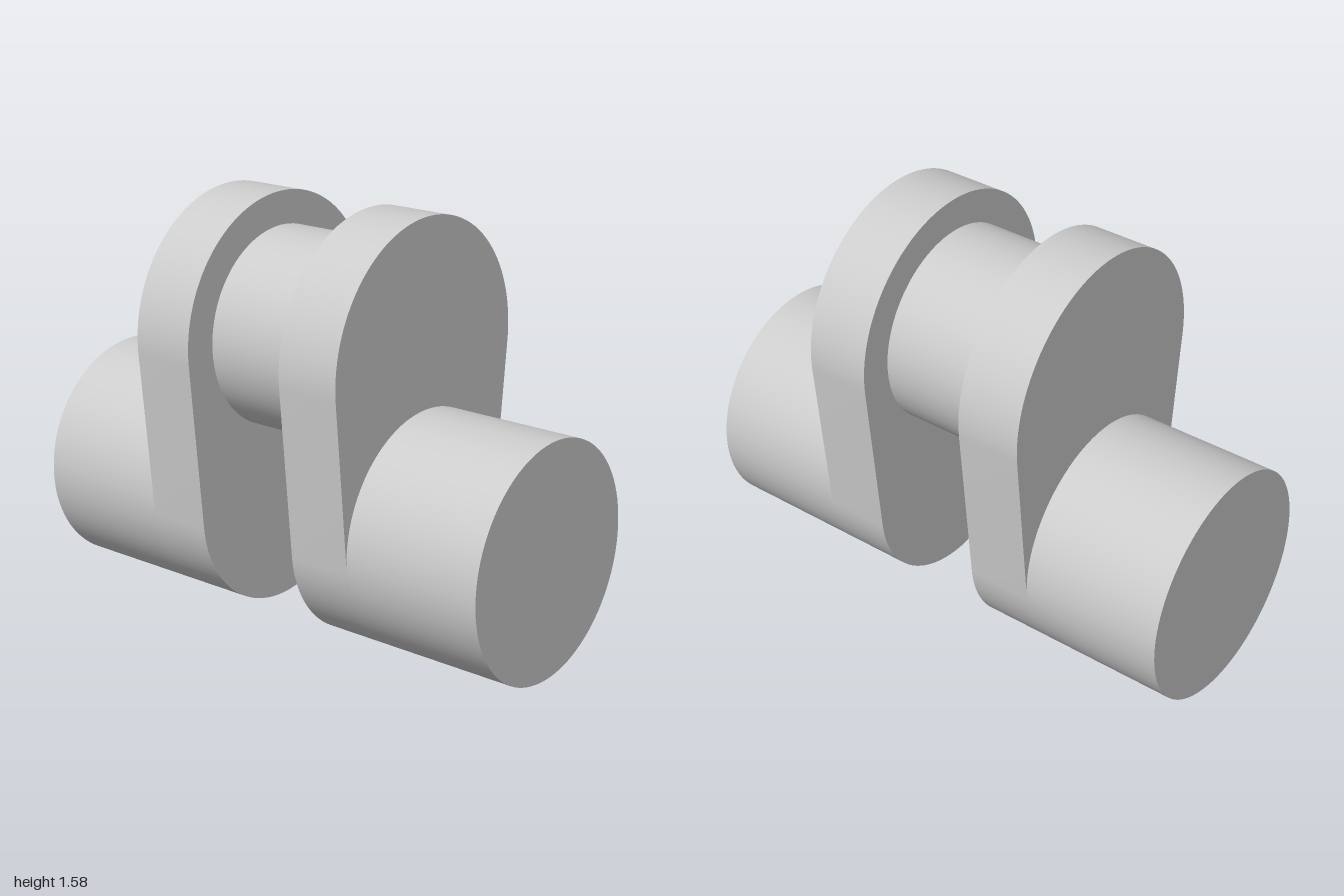
import * as THREE from 'three';
import { toCreasedNormals } from 'three/addons/utils/BufferGeometryUtils.js';

const material = new THREE.MeshStandardMaterial({ color: 0xcccccc });
const JOURNAL = { y: 0.441, r: 0.441 };
const PIN = { y: 1.075, r: 0.377 };
const WEB_TOP_R = 0.503;
const WEB_INNER = 0.21, WEB_OUTER = 0.458;

// Round shaft lying along x between x0 and x1
function shaft(name, { y, r }, x0, x1) {
  const geometry = new THREE.CylinderGeometry(r, r, x1 - x0, 96).rotateZ(Math.PI / 2);
  const mesh = new THREE.Mesh(geometry, material);
  mesh.name = name;
  mesh.position.set((x0 + x1) / 2, y, 0);
  return mesh;
}

// Crank web: two arcs of different radius joined by their common tangents
function webGeometry() {
  const a = Math.asin((WEB_TOP_R - JOURNAL.r) / (PIN.y - JOURNAL.y));
  const shape = new THREE.Shape();
  shape.absarc(0, PIN.y, WEB_TOP_R, -a, Math.PI + a, false);
  shape.absarc(0, JOURNAL.y, JOURNAL.r, Math.PI + a, 2 * Math.PI - a, false);
  shape.closePath();
  const geometry = new THREE.ExtrudeGeometry(shape, {
    depth: WEB_OUTER - WEB_INNER, bevelEnabled: false, curveSegments: 48,
  });
  geometry.translate(0, 0, -(WEB_OUTER - WEB_INNER) / 2).rotateY(Math.PI / 2);
  return toCreasedNormals(geometry, Math.PI / 6);
}

export function createModel() {
  const model = new THREE.Group();
  model.name = 'crankThrow';

  // Crank pin between the webs
  model.add(shaft('crankPin', PIN, -WEB_INNER, WEB_INNER));

  // Web and main journal on each side
  const web = webGeometry();
  for (const [side, s] of [['left', 1], ['right', -1]]) {
    const mesh = new THREE.Mesh(web, material);
    mesh.name = side + 'Web';
    mesh.position.x = s * (WEB_INNER + WEB_OUTER) / 2;
    model.add(mesh);
    const ends = [s * WEB_OUTER, s].sort((p, q) => p - q);
    model.add(shaft(side + 'Journal', JOURNAL, ends[0], ends[1]));
  }
  return model;
}
